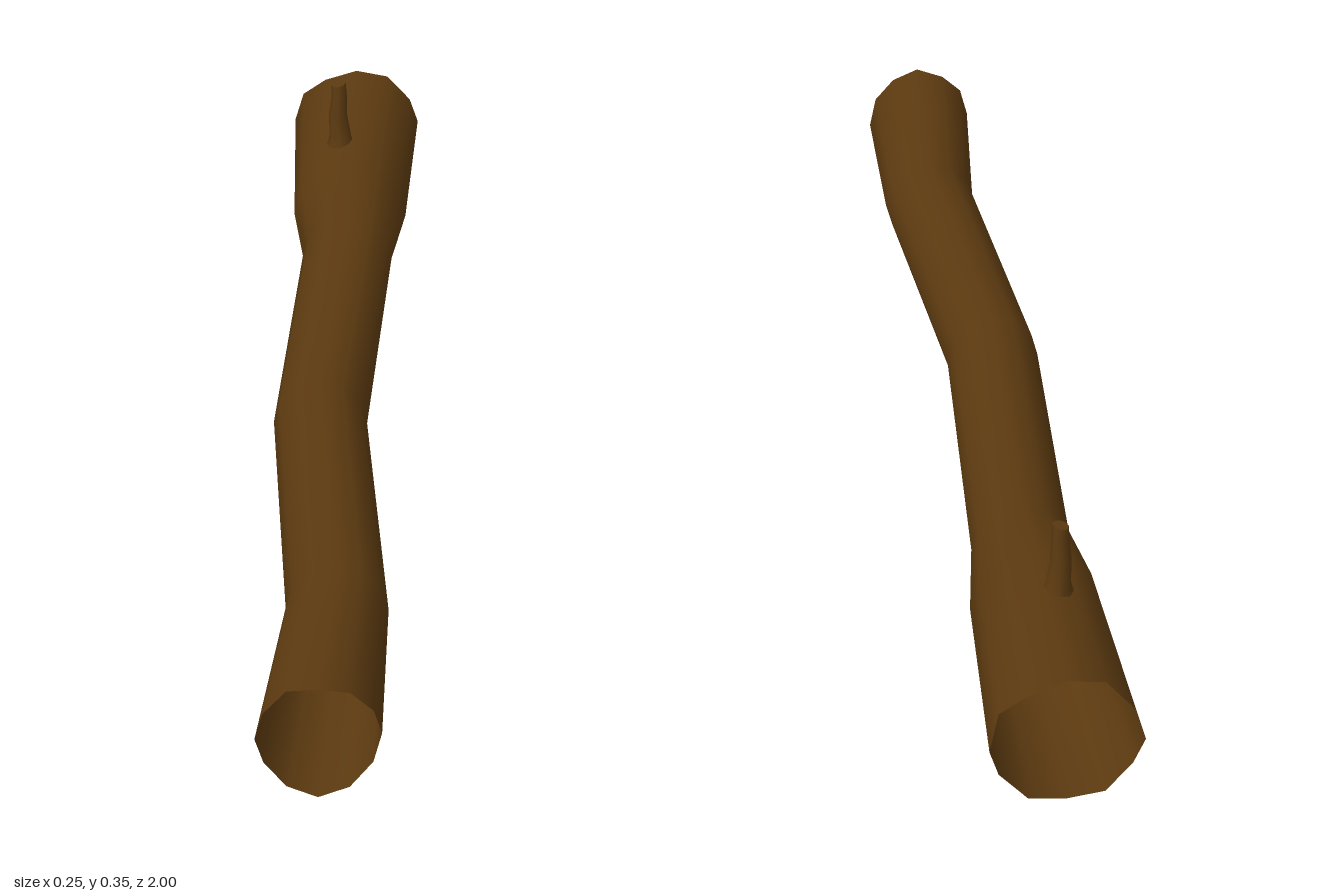
import * as THREE from 'three';

const SIDES = 12;

// Skin a list of equal-length point rings; seam vertices are shared so shading stays smooth.
function loft(rings, capEnd = false) {
  const n = rings[0].length;
  const index = [];
  for (let i = 0; i < rings.length - 1; i++) {
    for (let j = 0; j < n; j++) {
      const k = (j + 1) % n;
      const a = i * n + j, b = i * n + k;
      index.push(a, b, b + n, a, b + n, a + n);
    }
  }
  const points = rings.flat();
  if (capEnd) {
    // Separate vertices keep the cap edge sharp
    const start = points.length;
    points.push(...rings[rings.length - 1]);
    for (let j = 1; j < n - 1; j++) index.push(start, start + j, start + j + 1);
  }
  const geometry = new THREE.BufferGeometry().setFromPoints(points);
  geometry.setIndex(index);
  geometry.computeVertexNormals();
  return geometry;
}

// Evaluate a function at evenly spaced angles
const ring = (n, fn) => Array.from({ length: n }, (_, j) => fn((j / n) * Math.PI * 2, j));

export function createModel() {
  const bark = new THREE.MeshStandardMaterial({ color: 0x5c3a10, side: THREE.DoubleSide });
  bark.name = 'brown bark';
  const model = new THREE.Group();
  model.name = 'hollowLog';

  // Trunk sections from back to front: z, centre x, centre y, radius x, radius y
  const sections = [
    [-1.0, 0.0, 0.122, 0.123, 0.118],
    [-0.63, -0.002, 0.116, 0.107, 0.107],
    [-0.47, -0.002, 0.117, 0.084, 0.083],
    [0.1, -0.031, 0.116, 0.082, 0.084],
    [0.65, 0.017, 0.115, 0.084, 0.085],
    [1.0, -0.001, 0.111, 0.099, 0.104],
  ];
  // How far each rim vertex is broken back from the end
  const backChips = [0, 0.018, 0.004, 0.012, 0.022, 0.002, 0, 0.015, 0.004, 0.012, 0.002, 0.014];
  const frontChips = [0.032, 0.022, 0.016, 0.004, 0.016, 0.008, 0.01, 0.018, 0.008, 0, 0.01, 0.026];
  const trunkRings = sections.map(([z, cx, cy, rx, ry], i) => ring(SIDES, (a, j) => {
    const chip = i === 0 ? backChips[j] : i === sections.length - 1 ? -frontChips[j] : 0;
    return new THREE.Vector3(cx + rx * Math.cos(a), cy + ry * Math.sin(a), z + chip);
  }));
  const trunk = new THREE.Mesh(loft(trunkRings), bark);
  trunk.name = 'trunk';
  model.add(trunk);

  // Twig with a flared foot and slightly slanted tip: y, centre x, radius
  const twigSections = [
    [0.205, -0.022, 0.03],
    [0.235, -0.024, 0.021],
    [0.28, -0.028, 0.0175],
    [0.325, -0.026, 0.0145],
    [0.347, -0.027, 0.0135],
  ];
  const twigRings = twigSections.map(([y, cx, r], i) => ring(8, (a) => {
    const slant = i === twigSections.length - 1 ? 0.003 * Math.cos(a) : 0;
    return new THREE.Vector3(cx + r * Math.cos(a), y + slant, -0.73 - r * Math.sin(a));
  }));
  const twig = new THREE.Mesh(loft(twigRings, true), bark);
  twig.name = 'twig';
  model.add(twig);

  return model;
}
